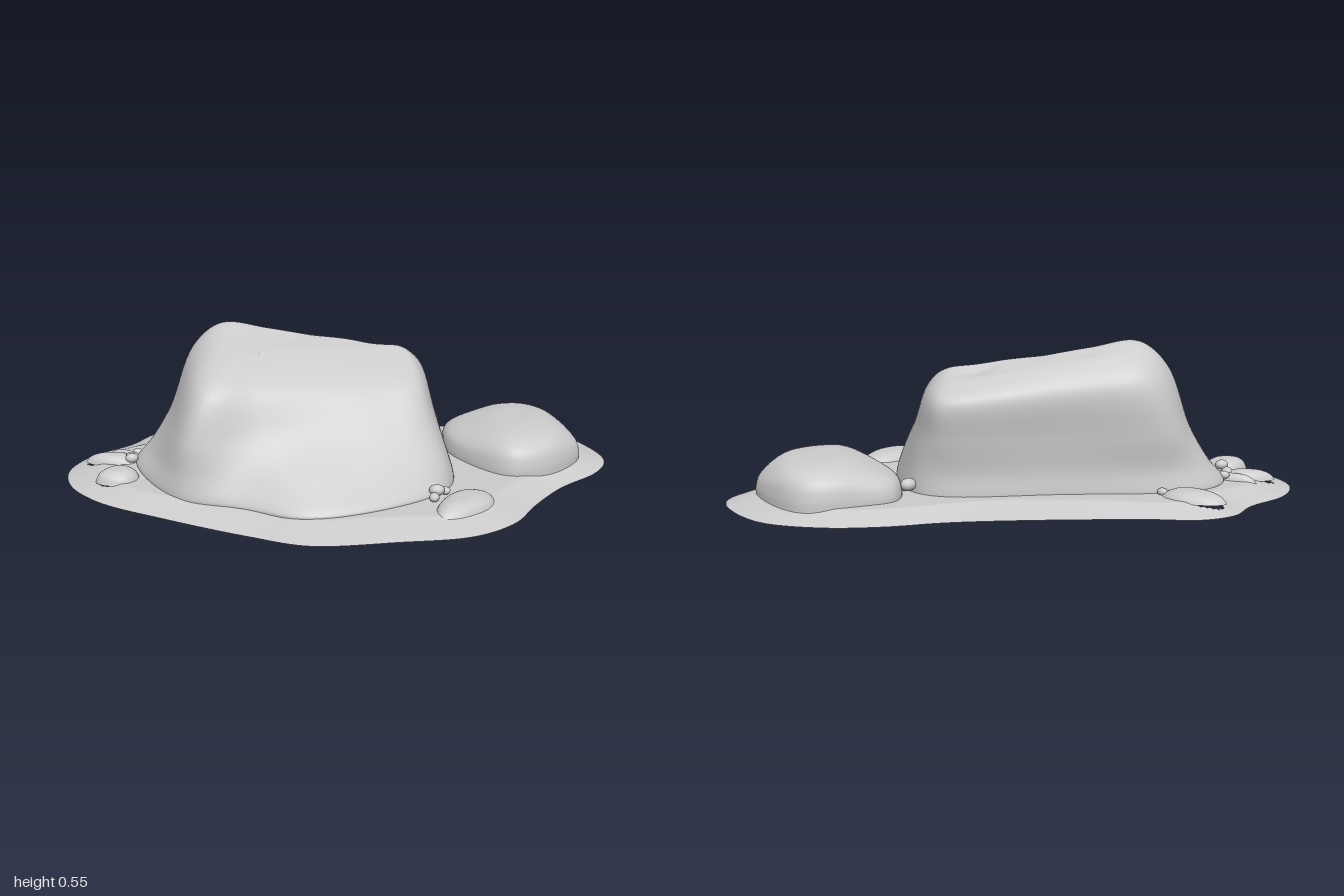
import * as THREE from 'three';

const material = new THREE.MeshStandardMaterial({ color: 0xcccccc, side: THREE.DoubleSide });
const V = (x, y, z) => new THREE.Vector3(x, y, z);
const smooth = (t) => { t = Math.min(1, Math.max(0, t)); return t * t * (3 - 2 * t); };

// closed smooth ring through flat [x, z, x, z, ...] points, height given by a rule
function ring(flat, yRule, count) {
  const pts = [];
  for (let i = 0; i < flat.length; i += 2) pts.push(V(flat[i], yRule(flat[i], flat[i + 1]), flat[i + 1]));
  const curve = new THREE.CatmullRomCurve3(pts, true, 'centripetal');
  return Array.from({ length: count }, (_, i) => curve.getPoint(i / count));
}

// skin over stacked rings; triangles for which skip(centroid) is true are left open
function skin(name, rings, skip = () => false) {
  const n = rings[0].length, index = [], flat = rings.flat();
  const tri = (a, b, c) => {
    const m = flat[a].clone().add(flat[b]).add(flat[c]).divideScalar(3);
    if (!skip(m)) index.push(a, b, c);
  };
  for (let i = 0; i < rings.length - 1; i++) {
    for (let j = 0; j < n; j++) {
      const a = i * n + j, b = i * n + (j + 1) % n;
      tri(a, a + n, b);
      if (i < rings.length - 2) tri(b, a + n, b + n);
    }
  }
  const geo = new THREE.BufferGeometry().setFromPoints(flat);
  geo.setIndex(index);
  geo.computeVertexNormals();
  const mesh = new THREE.Mesh(geo, material);
  mesh.name = name;
  return mesh;
}

// smooth the sections vertically, then skin them
function loft(name, sections, steps, tweak = (p) => p) {
  const cols = sections[0].map((_, j) =>
    new THREE.CatmullRomCurve3(sections.map((s) => s[j]), false, 'centripetal').getPoints(steps));
  const rings = [];
  for (let i = 0; i <= steps; i++) rings.push(cols.map((c) => tweak(c[i].clone())));
  return skin(name, rings);
}

// rounded stone: one outline shrunk towards its centre along a [scale, height] profile
function stone(name, outline, cx, cz, profile, count, steps, tweak) {
  const sections = profile.map(([s, h]) => ring(outline, () => 0, count)
    .map((p) => V(cx + (p.x - cx) * s, h, cz + (p.z - cz) * s)));
  return loft(name, sections, steps, tweak);
}

function ellipse(cx, cz, rx, rz, turn) {
  const out = [];
  for (let i = 0; i < 10; i++) {
    const a = Math.PI + (i / 10) * Math.PI * 2;
    const x = Math.cos(a) * rx, z = Math.sin(a) * rz * (1 + 0.2 * Math.cos(a));
    out.push(cx + x * Math.cos(turn) - z * Math.sin(turn), cz + x * Math.sin(turn) + z * Math.cos(turn));
  }
  return out;
}

function inside(flat, cx, cz, scale, p) {
  const x = cx + (p.x - cx) / scale, z = cz + (p.z - cz) / scale;
  let hit = false;
  for (let i = 0, j = flat.length - 2; i < flat.length; j = i, i += 2) {
    const [xi, zi, xj, zj] = [flat[i], flat[i + 1], flat[j], flat[j + 1]];
    if ((zi > z) !== (zj > z) && x < ((xj - xi) * (z - zi)) / (zj - zi) + xi) hit = !hit;
  }
  return hit;
}

export function createModel() {
  const group = new THREE.Group();

  // outlines seen from above
  const groundLine = [-1, -0.1, -0.94, -0.25, -0.8, -0.38, -0.72, -0.5, -0.6, -0.55, -0.42, -0.53, 0, -0.52,
    0.25, -0.535, 0.45, -0.575, 0.65, -0.575, 0.85, -0.5, 0.97, -0.33, 1, -0.2, 0.95, -0.08, 0.8, 0.07,
    0.69, 0.23, 0.6, 0.39, 0.45, 0.5, 0.2, 0.545, -0.1, 0.575, -0.3, 0.5, -0.6, 0.35, -0.85, 0.2, -0.97, 0.05];
  const foot = [-0.75, -0.1, -0.71, -0.24, -0.58, -0.32, -0.15, -0.33, 0.24, -0.34, 0.35, -0.27,
    0.41, -0.05, 0.39, 0.16, 0.24, 0.31, -0.1, 0.44, -0.33, 0.35, -0.58, 0.24];
  const low = [-0.69, -0.08, -0.67, -0.23, -0.56, -0.31, -0.15, -0.325, 0.24, -0.335, 0.34, -0.27,
    0.39, -0.05, 0.37, 0.14, 0.21, 0.25, -0.1, 0.35, -0.32, 0.3, -0.56, 0.24];
  const middle = [-0.62, -0.08, -0.61, -0.22, -0.54, -0.32, -0.15, -0.335, 0.25, -0.35, 0.32, -0.28,
    0.35, -0.08, 0.32, 0.08, 0.17, 0.15, -0.1, 0.2, -0.3, 0.225, -0.53, 0.24];
  const shoulder = [-0.53, -0.08, -0.53, -0.21, -0.46, -0.32, -0.15, -0.345, 0.25, -0.36, 0.29, -0.3,
    0.3, -0.1, 0.27, 0, 0.12, 0.04, -0.1, 0.09, -0.28, 0.14, -0.47, 0.19];
  const rim = [-0.43, -0.1, -0.43, -0.19, -0.38, -0.26, -0.13, -0.28, 0.18, -0.3, 0.22, -0.26,
    0.23, -0.18, 0.2, -0.14, 0.08, -0.11, -0.1, -0.07, -0.27, -0.01, -0.38, 0.06];
  const sideLine = [0.4, -0.22, 0.41, -0.39, 0.52, -0.45, 0.7, -0.49, 0.8, -0.42, 0.9, -0.19,
    0.85, -0.07, 0.73, 0.03, 0.62, 0.05, 0.52, -0.02];

  // main boulder: its top is a ridge falling to the right, the front and the back
  const level = (h, k) => (x, z) => {
    const dz = z + 0.19;
    return h - k * (0.13 * (x + 0.1) + (dz > 0 ? 0.28 : -0.4) * dz);
  };
  const shrink = (s) => rim.map((v, i) => { const c = i % 2 ? -0.19 : -0.1; return c + (v - c) * s; });
  const N = 120;
  group.add(loft('mainBoulder', [
    ring(foot, level(0.033, 0), N), ring(foot, level(0.05, 0), N), ring(low, level(0.12, 0), N),
    ring(middle, level(0.24, 0), N), ring(shoulder, level(0.435, 0.6), N), ring(rim, level(0.507, 1), N),
    ring(shrink(0.5), level(0.508, 1), N), ring(shrink(0), level(0.502, 1), N),
  ], 56, (p) => {
    // small dent on the top
    if (p.y > 0.4) p.y -= 0.02 * Math.exp(-(((p.x - 0.14) / 0.07) ** 2) - ((p.z + 0.22) / 0.04) ** 2);
    return p;
  }));

  // smaller boulder beside it
  group.add(stone('sideBoulder', sideLine, 0.65, -0.22,
    [[1, 0.03], [0.995, 0.07], [0.94, 0.12], [0.78, 0.155], [0.4, 0.174], [0, 0.176]], 72, 30, (p) => {
      p.y -= Math.max(0, p.y - 0.04) * 0.5 * smooth((p.x - 0.77) / 0.2);
      p.y -= Math.max(0, p.y - 0.04) * 0.25 * smooth((0.62 - p.x) / 0.2);
      return p;
    }));

  // low stones half sunk in the ground: x, z, half length, half width, turn, height
  const holes = [[foot, -0.1, 0, 0.985], [sideLine, 0.65, -0.22, 0.98]];
  [[0.43, 0.31, 0.14, 0.08, -0.9, 0.072], [-0.8, 0.06, 0.08, 0.07, -0.4, 0.078],
    [-0.84, -0.11, 0.1, 0.045, 0.1, 0.07], [-0.6, -0.4, 0.12, 0.07, 0.6, 0.07],
    [-0.79, -0.15, 0.08, 0.025, 0.5, 0.065]].forEach(([x, z, rx, rz, turn, h]) => {
    const line = ellipse(x, z, rx, rz, turn);
    holes.push([line, x, z, 0.9]);
    group.add(stone('lowStone', line, x, z, [[1, 0.034], [0.85, h * 0.75], [0.5, h * 0.96], [0, h]], 32, 12));
  });

  // tiny pebbles caught at the foot of the boulder: x, y, z, radius
  [[0.34, 0.07, 0.25, 0.025], [0.33, 0.055, 0.28, 0.02], [0.37, 0.06, 0.23, 0.018],
    [0.37, 0.07, -0.27, 0.028], [0.385, 0.05, -0.23, 0.02], [-0.76, 0.075, -0.05, 0.022],
    [-0.77, 0.06, -0.1, 0.022], [-0.75, 0.06, -0.15, 0.018], [-0.56, 0.05, -0.35, 0.022],
    [-0.5, 0.05, -0.345, 0.018]].forEach(([x, y, z, r], i) => {
    const pebble = new THREE.Mesh(new THREE.SphereGeometry(r, 14, 10), material);
    pebble.name = 'pebble';
    pebble.position.set(x, y, z);
    pebble.scale.set(1.1, 0.8, 0.9);
    pebble.rotation.y = i * 1.3;
    group.add(pebble);
  });

  // thin ground sheet rising from its edge, open beneath the stones
  const edge = ring(groundLine, () => 0, 220);
  const rings = [];
  for (let i = 0; i <= 70; i++) {
    const s = 1 - i / 70;
    rings.push(edge.map((p) => V(p.x * s, 0.003 + 0.039 * Math.min(1, (1 - s) * p.length() / 0.13), p.z * s)));
  }
  group.add(skin('groundSheet', rings, (p) => holes.some(([line, x, z, s]) => inside(line, x, z, s, p))));

  return group;
}
